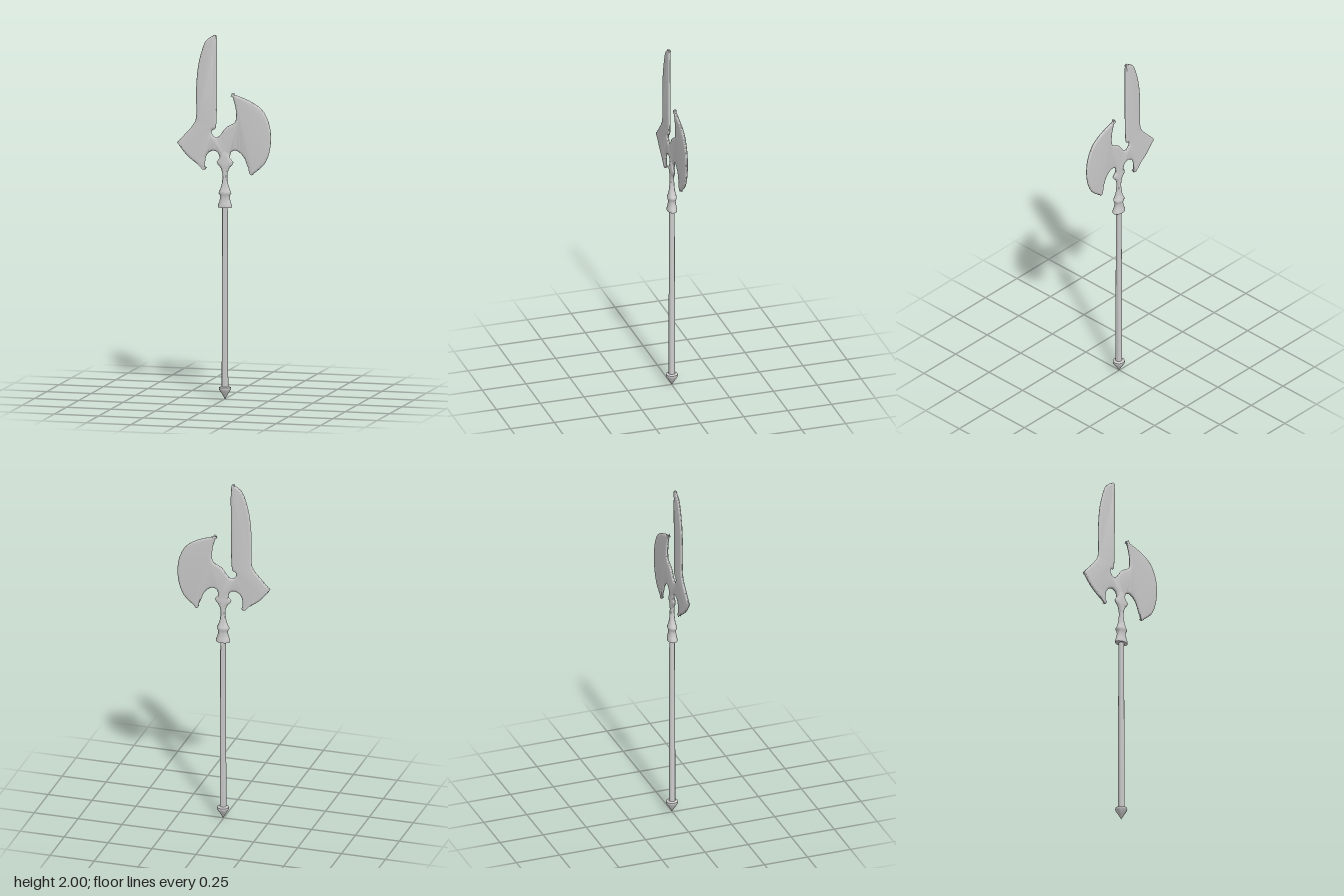
import * as THREE from 'three';
import { toCreasedNormals } from 'three/addons/utils/BufferGeometryUtils.js';

const AXIS_X = 0.004; // the pole sits slightly off the middle of the head
const material = new THREE.MeshStandardMaterial({ color: 0xcccccc });

function addPart(group, name, geometry, crease) {
  const mesh = new THREE.Mesh(toCreasedNormals(geometry, crease), material);
  mesh.name = name;
  group.add(mesh);
  return mesh;
}

// Elliptical turned part: rows of [y, radius along x, radius along z]
function turned(rows, sides = 20) {
  const profile = rows.map(([y]) => new THREE.Vector2(1, y));
  const geometry = new THREE.LatheGeometry(profile, sides);
  const pos = geometry.attributes.position;
  for (let i = 0; i < pos.count; i++) {
    const [, rx, rz] = rows[i % rows.length];
    pos.setX(i, pos.getX(i) * rx);
    pos.setZ(i, pos.getZ(i) * rz);
  }
  return geometry;
}

// Closed outline of smooth runs that meet at sharp corners
function outline(runs) {
  const shape = new THREE.Shape();
  shape.moveTo(...runs[0][0]);
  for (const run of runs) {
    const points = run.slice(1).map(([x, y]) => new THREE.Vector2(x, y));
    if (points.length === 1) shape.lineTo(points[0].x, points[0].y);
    else shape.splineThru(points);
  }
  return shape;
}

export function createModel() {
  const group = new THREE.Group();
  group.name = 'poleAxe';

  // Head: sword-like spike, rear beak and crescent axe blade in one plate
  const tip = [-0.05, 2.0], beak = [-0.267, 1.4], beakBarb = [-0.108, 1.257];
  const axeBarb = [0.15, 1.235], axeHorn = [0.04, 1.68];
  const head = outline([
    [tip, [-0.085, 1.982], [-0.115, 1.945], [-0.147, 1.83], [-0.159, 1.7], [-0.159, 1.55], [-0.177, 1.5], [-0.22, 1.45], beak],
    [beak, [-0.204, 1.325], beakBarb],
    [beakBarb, [-0.107, 1.315], [-0.092, 1.348], [-0.062, 1.363], [-0.035, 1.35], [-0.024, 1.31]],
    [[-0.024, 1.31], [0.03, 1.31]],
    [[0.03, 1.31], [0.037, 1.357], [0.07, 1.367], [0.108, 1.335], [0.13, 1.285], axeBarb],
    [axeBarb, [0.225, 1.3], [0.258, 1.39], [0.259, 1.49], [0.232, 1.57], [0.19, 1.617], [0.124, 1.652], axeHorn],
    [axeHorn, [0.06, 1.615], [0.066, 1.56], [0.057, 1.522], [0.01, 1.493], [-0.03, 1.444], [-0.055, 1.438],
      [-0.072, 1.46], [-0.066, 1.478], [-0.05, 1.488], [-0.044, 1.55], [-0.042, 1.7], [-0.041, 1.85], [-0.042, 1.97], tip],
  ]);
  const plate = new THREE.ExtrudeGeometry(head, {
    depth: 0.001, curveSegments: 36,
    bevelEnabled: true, bevelThickness: 0.0075, bevelSize: 0.014, bevelOffset: -0.014, bevelSegments: 3,
  });
  plate.translate(0, 0, -0.0035);
  addPart(group, 'axeHead', plate, 0.7);

  // Neck and socket: round at the collar, flattening into the head
  const socket = turned([
    [1.055, 0, 0], [1.055, 0.04, 0.027], [1.066, 0.04, 0.027], [1.08, 0.033, 0.024], [1.11, 0.026, 0.02],
    [1.125, 0.03, 0.023], [1.132, 0.035, 0.025], [1.142, 0.034, 0.025], [1.15, 0.028, 0.021],
    [1.18, 0.018, 0.016], [1.22, 0.013, 0.013], [1.245, 0.015, 0.012], [1.265, 0.021, 0.012],
    [1.28, 0.031, 0.012], [1.287, 0.04, 0.012], [1.295, 0.043, 0.012], [1.303, 0.048, 0.011],
    [1.311, 0.041, 0.011], [1.325, 0.029, 0.01], [1.35, 0.023, 0.008], [1.38, 0, 0],
  ]);
  addPart(group, 'socket', socket, 0.8).position.x = AXIS_X;

  // Pole
  const pole = turned([[0.05, 0.018, 0.018], [0.55, 0.017, 0.017], [1.07, 0.015, 0.015]], 16);
  addPart(group, 'pole', pole, 0.8).position.x = AXIS_X;

  // Pointed butt cap
  const cap = turned([
    [0, 0, 0], [0.025, 0.014, 0.014], [0.052, 0.031, 0.031], [0.058, 0.033, 0.033],
    [0.066, 0.032, 0.032], [0.068, 0.022, 0.022], [0.072, 0.016, 0.016],
  ]);
  addPart(group, 'buttCap', cap, 0.6).position.x = AXIS_X;

  return group;
}
